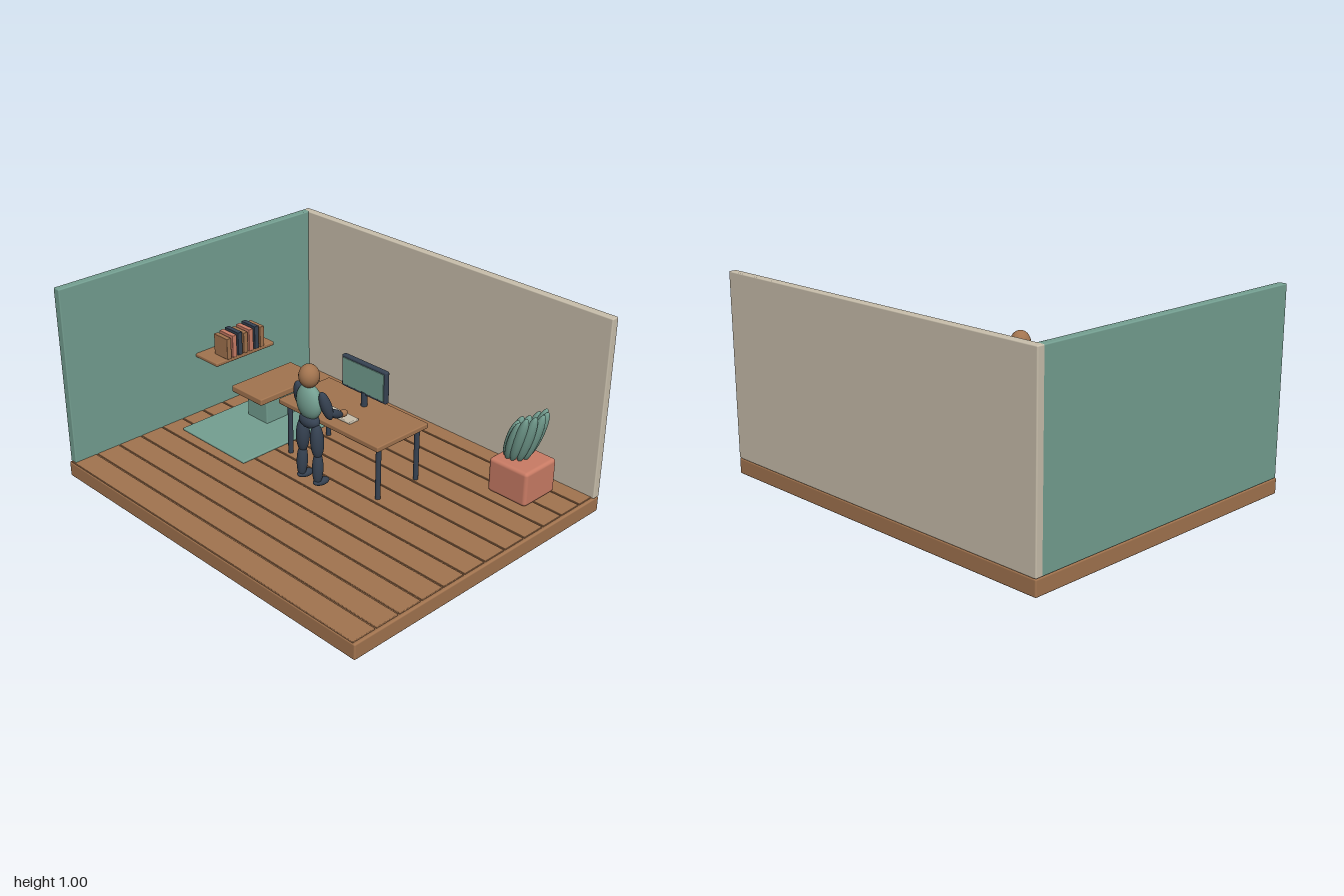
import * as THREE from 'three';
import { RoundedBoxGeometry } from 'three/addons/geometries/RoundedBoxGeometry.js';

export function createModel() {
  const room = new THREE.Group();
  room.name = 'studyRoom';
  const material = (name, color) => {
    const m = new THREE.MeshStandardMaterial({ color });
    m.name = name;
    return m;
  };
  const wood = material('wood', 0xa2744f);
  const teal = material('teal', 0x749f91);
  const cream = material('cream', 0xc9bfac);
  const navy = material('navy', 0x364252);
  const clay = material('clay', 0xca7c65);

  const add = (parent, name, geometry, mat) => {
    const mesh = new THREE.Mesh(geometry, mat);
    mesh.name = name;
    parent.add(mesh);
    return mesh;
  };
  const group = (name) => {
    const g = new THREE.Group();
    g.name = name;
    room.add(g);
    return g;
  };
  // Rounded box given by its lower and upper limits on each axis
  const box = (parent, name, [x0, x1], [y0, y1], [z0, z1], mat, radius = 0.006) => {
    const size = [x1 - x0, y1 - y0, z1 - z0];
    const r = Math.min(radius, Math.min(...size) * 0.4);
    const mesh = add(parent, name, new RoundedBoxGeometry(...size, 2, r), mat);
    mesh.position.set((x0 + x1) / 2, (y0 + y1) / 2, (z0 + z1) / 2);
    return mesh;
  };
  const ball = new THREE.SphereGeometry(1, 24, 16);
  const ellipsoid = (parent, name, pos, radii, mat) => {
    const mesh = add(parent, name, ball, mat);
    mesh.position.set(...pos);
    mesh.scale.set(...radii);
    return mesh;
  };
  // Ellipsoid stretched between two points
  const limb = (parent, name, from, to, radius, mat) => {
    const a = new THREE.Vector3(...from), b = new THREE.Vector3(...to);
    const mesh = add(parent, name, ball, mat);
    mesh.position.copy(a).add(b).multiplyScalar(0.5);
    mesh.scale.set(radius, a.distanceTo(b) / 2, radius);
    mesh.quaternion.setFromUnitVectors(new THREE.Vector3(0, 1, 0), b.sub(a).normalize());
    return mesh;
  };

  // Floor slab with separate boards
  const floor = group('floor');
  box(floor, 'floorSlab', [-1, 1], [0, 0.08], [-0.81, 0.81], wood, 0.008);
  const pitch = 0.135;
  for (let i = 0; i < 12; i++) {
    const z = -0.81 + i * pitch;
    box(floor, 'floorBoard', [-0.985, 0.985], [0.07, 0.086], [z + 0.004, z + pitch - 0.004], wood, 0.003);
  }

  // Walls
  box(room, 'backWall', [-1, 1], [0.08, 1.003], [-0.81, -0.768], cream);
  box(room, 'sideWall', [-1, -0.957], [0.08, 1.003], [-0.79, 0.8], teal);

  // Rug and bench
  box(room, 'rug', [-0.86, -0.38], [0.084, 0.098], [-0.4, 0.212], teal);
  const bench = group('bench');
  box(bench, 'benchTop', [-0.787, -0.557], [0.237, 0.272], [-0.473, -0.063], wood);
  box(bench, 'benchBase', [-0.743, -0.593], [0.09, 0.24], [-0.4, -0.13], teal);

  // Wall shelf with a row of books
  const shelf = group('bookShelf');
  box(shelf, 'shelfBoard', [-0.965, -0.79], [0.405, 0.426], [-0.362, 0.028], wood);
  const bookColours = [wood, clay, navy];
  const bookTops = [0.54, 0.547, 0.553];
  for (let i = 0; i < 7; i++) {
    const z = -0.055 - i * 0.037;
    box(shelf, 'book', [-0.89, -0.786], [0.426, bookTops[i % 3]], [z - 0.014, z + 0.014], bookColours[i % 3], 0.003);
  }

  // Desk
  const desk = group('desk');
  box(desk, 'deskTop', [-0.34, 0.336], [0.362, 0.39], [-0.333, 0.01], wood);
  for (const x of [-0.305, 0.3]) for (const z of [-0.295, -0.035]) {
    add(desk, 'deskLeg', new THREE.CylinderGeometry(0.013, 0.013, 0.28, 16), navy).position.set(x, 0.225, z);
  }

  // Monitor and keyboard
  const monitor = group('monitor');
  box(monitor, 'monitorCase', [-0.15, 0.146], [0.448, 0.617], [-0.262, -0.234], navy, 0.008);
  box(monitor, 'monitorScreen', [-0.138, 0.134], [0.462, 0.604], [-0.236, -0.231], teal, 0.002);
  add(monitor, 'monitorStand', new THREE.CylinderGeometry(0.016, 0.016, 0.08, 16), navy).position.set(0, 0.425, -0.24);
  box(room, 'keyboard', [-0.095, 0.09], [0.388, 0.4], [-0.115, -0.053], cream, 0.004);

  // Person standing at the desk
  const person = group('person');
  ellipsoid(person, 'head', [0, 0.674, 0.12], [0.05, 0.058, 0.05], wood);
  add(person, 'neck', new THREE.CylinderGeometry(0.02, 0.02, 0.05, 16), wood).position.set(0, 0.62, 0.12);
  ellipsoid(person, 'torso', [0, 0.542, 0.12], [0.076, 0.09, 0.045], teal);
  ellipsoid(person, 'hips', [0, 0.445, 0.12], [0.06, 0.038, 0.038], navy);
  for (const s of [-1, 1]) {
    limb(person, 'upperArm', [s * 0.08, 0.618, 0.12], [s * 0.1, 0.47, 0.078], 0.027, navy);
    limb(person, 'forearm', [s * 0.102, 0.515, 0.1], [s * 0.09, 0.46, -0.005], 0.021, navy);
    ellipsoid(person, 'hand', [s * 0.091, 0.467, -0.01], [0.018, 0.018, 0.025], wood);
    limb(person, 'thigh', [s * 0.045, 0.445, 0.12], [s * 0.052, 0.255, 0.115], 0.033, navy);
    limb(person, 'shin', [s * 0.052, 0.3, 0.115], [s * 0.055, 0.118, 0.122], 0.027, navy);
    const foot = ellipsoid(person, 'foot', [s * 0.055, 0.13, 0.098], [0.025, 0.02, 0.049], navy);
    foot.rotation.x = -0.12;
  }

  // Potted plant with a ring of leaning leaves
  const plant = group('pottedPlant');
  box(plant, 'pot', [0.605, 0.832], [0.086, 0.266], [-0.685, -0.462], clay, 0.018);
  const leafCount = 10;
  for (let i = 0; i < leafCount; i++) {
    const a = (i / leafCount) * Math.PI * 2;
    const length = 0.125 + 0.018 * Math.cos(a) + (i % 3) * 0.004;
    const leaf = ellipsoid(plant, 'leaf',
      [0.718 + 0.055 * Math.cos(a), 0.26 + length * 0.93, -0.575 + 0.065 * Math.sin(a)],
      [0.027, length, 0.029], teal);
    leaf.rotation.set(0.1 * Math.sin(a), 0, -0.32);
  }
  return room;
}
